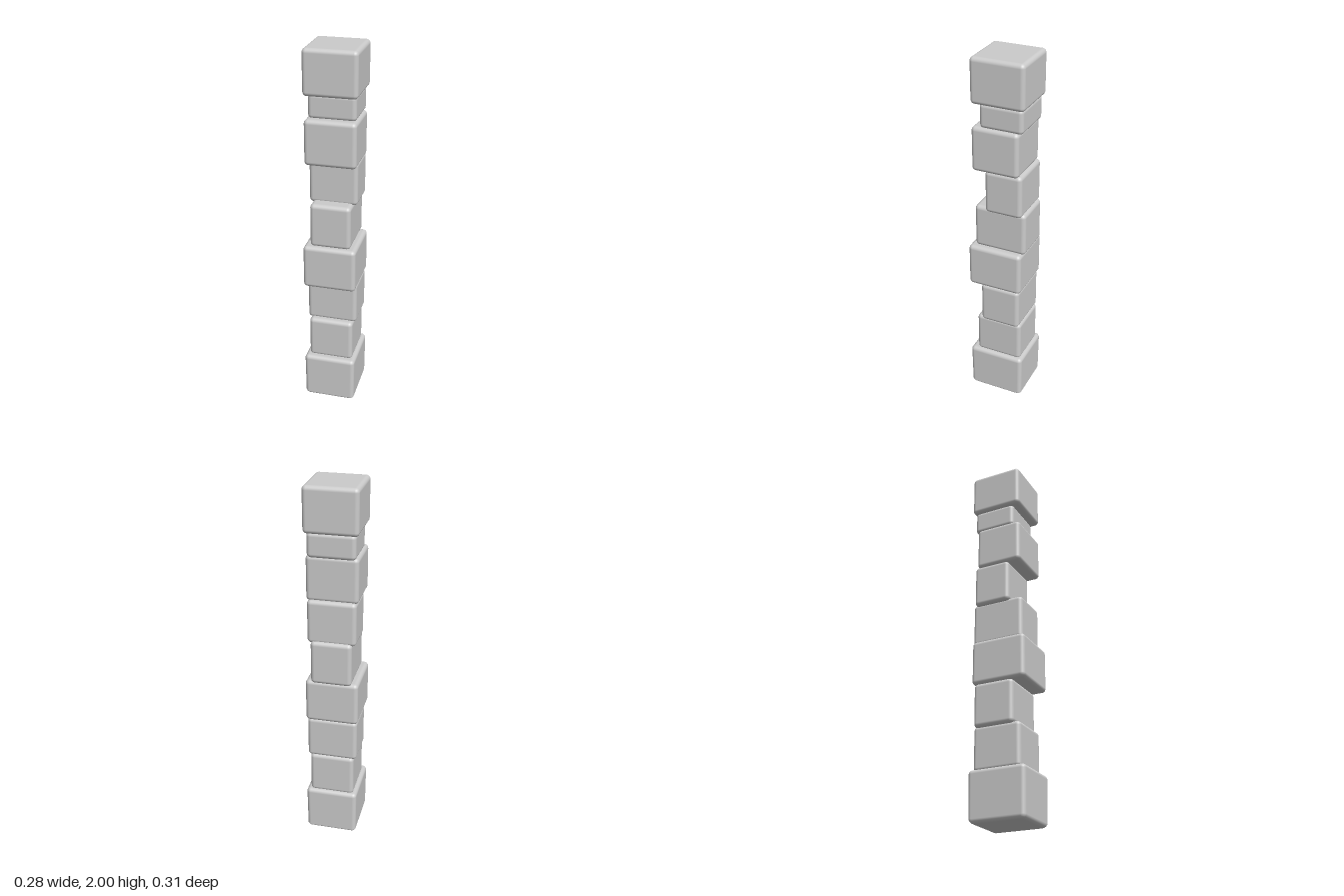
import * as THREE from 'three';
import { RoundedBoxGeometry } from 'three/addons/geometries/RoundedBoxGeometry.js';

const material = new THREE.MeshStandardMaterial({ color: 0xcccccc });
const RADIUS = 0.022;

// Each block from bottom to top: bottom y, top y, half width, back z, front z
const blocks = [
  [0, 0.265, 0.142, -0.155, 0.158],
  [0.255, 0.492, 0.121, -0.138, 0.123],
  [0.482, 0.718, 0.136, -0.132, 0.09],
  [0.713, 0.955, 0.142, -0.143, 0.158],
  [0.948, 1.19, 0.109, -0.155, 0.132],
  [1.175, 1.412, 0.129, -0.14, 0.063],
  [1.403, 1.645, 0.136, -0.124, 0.132],
  [1.638, 1.77, 0.125, -0.143, 0.09],
  [1.763, 2, 0.141, -0.156, 0.132],
];

// Pulls the lower edge of a block inwards
function taperBottom(geometry, height, reach, amount) {
  const p = geometry.attributes.position;
  for (let i = 0; i < p.count; i++) {
    const t = Math.max(0, 1 - (p.getY(i) + height / 2) / reach);
    p.setX(i, p.getX(i) * (1 - amount * t));
    p.setZ(i, p.getZ(i) * (1 - amount * t));
  }
}

export function createModel() {
  const group = new THREE.Group();
  group.name = 'blockColumn';
  blocks.forEach(([y0, y1, halfWidth, z0, z1], i) => {
    const height = y1 - y0;
    const geometry = new RoundedBoxGeometry(halfWidth * 2, height, z1 - z0, 4, RADIUS);
    // The foot of the column has a bevelled underside
    if (i === 0) taperBottom(geometry, height, 0.03, 0.06);
    const block = new THREE.Mesh(geometry, material);
    block.name = i === 0 ? 'baseBlock' : i === blocks.length - 1 ? 'topBlock' : `block${i}`;
    block.position.set(0, (y0 + y1) / 2, (z0 + z1) / 2);
    group.add(block);
  });
  return group;
}
